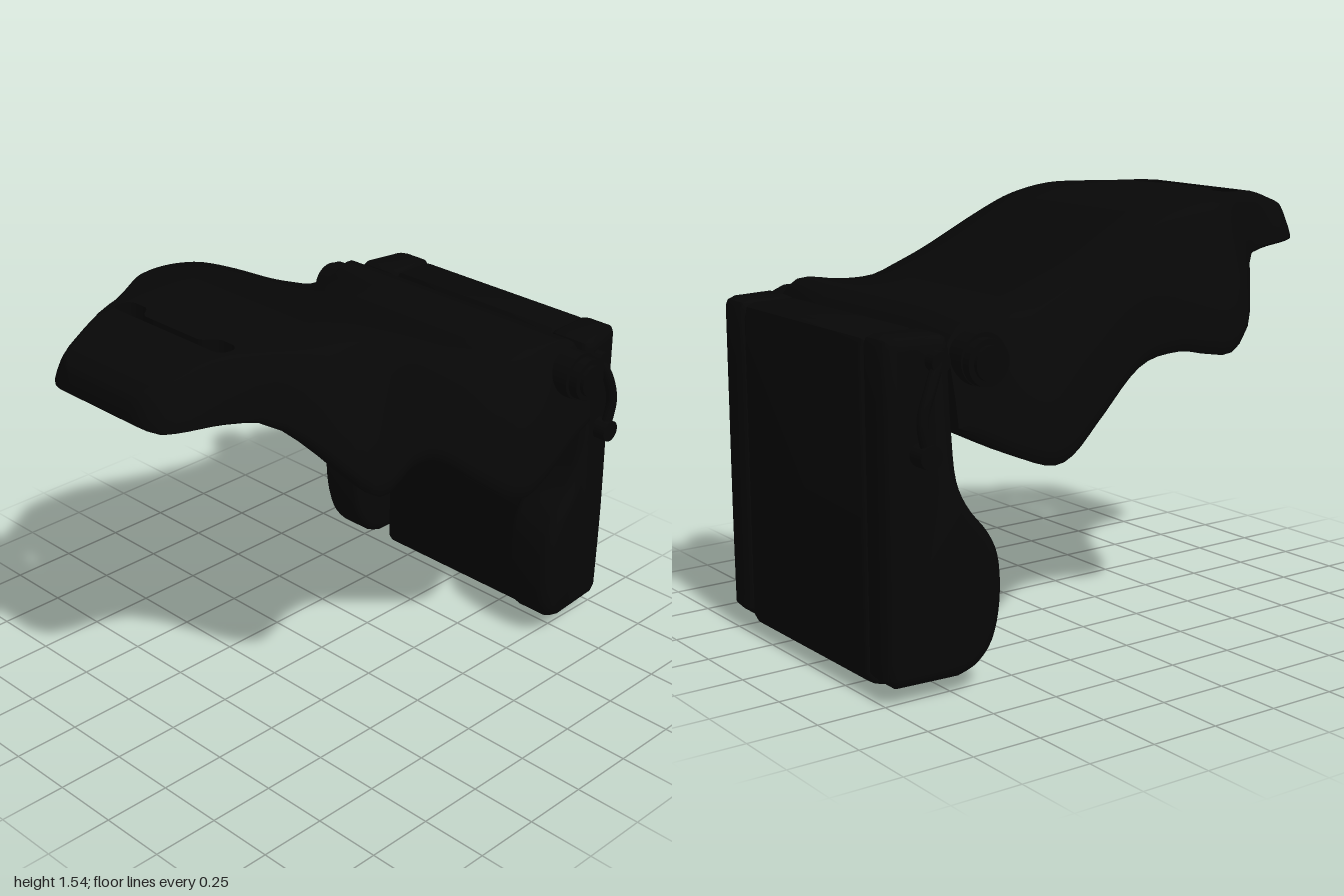
import * as THREE from 'three';
import { toCreasedNormals } from 'three/addons/utils/BufferGeometryUtils.js';

const black = new THREE.MeshStandardMaterial({ color: 0x070707 });
black.name = 'black';
const { smoothstep, lerp } = THREE.MathUtils;

function addMesh(parent, geometry, name) {
  const mesh = new THREE.Mesh(geometry, black);
  mesh.name = name;
  parent.add(mesh);
  return mesh;
}

// Smooth interpolation through rows of [t, value, value...]
function sample(rows, t, k) {
  let i = 0;
  while (i < rows.length - 2 && t > rows[i + 1][0]) i++;
  const slope = n => {
    const a = rows[Math.max(n - 1, 0)], b = rows[Math.min(n + 1, rows.length - 1)];
    return (b[k] - a[k]) / (b[0] - a[0]);
  };
  const p = rows[i], q = rows[i + 1], h = q[0] - p[0];
  const s = Math.min(Math.max((t - p[0]) / h, 0), 1), s2 = s * s, s3 = s2 * s;
  return p[k] * (2 * s3 - 3 * s2 + 1) + q[k] * (3 * s2 - 2 * s3)
    + h * (slope(i) * (s3 - 2 * s2 + s) + slope(i + 1) * (s3 - s2));
}

// Hood stations: z, half width, top height, bottom height, flat share of the top
const STATIONS = [
  [-0.78, 0.61, 1.17, 0.9, 0.88], [-0.74, 0.612, 1.22, 0.88, 0.88], [-0.68, 0.615, 1.25, 0.85, 0.87],
  [-0.55, 0.63, 1.238, 0.785, 0.79], [-0.42, 0.64, 1.243, 0.742, 0.75], [-0.33, 0.632, 1.275, 0.765, 0.75],
  [-0.2, 0.605, 1.33, 0.86, 0.77], [0, 0.575, 1.43, 1.015, 0.79], [0.15, 0.594, 1.495, 1.05, 0.76],
  [0.25, 0.622, 1.522, 1.035, 0.72], [0.35, 0.638, 1.538, 1.03, 0.69], [0.44, 0.615, 1.54, 1.1, 0.7],
  [0.55, 0.5, 1.54, 1.24, 0.74], [0.63, 0.41, 1.54, 1.31, 0.79], [0.75, 0.345, 1.538, 1.33, 0.8],
  [0.9, 0.305, 1.495, 1.34, 0.74], [0.97, 0.265, 1.47, 1.343, 0.72], [1, 0.2, 1.43, 1.36, 0.72],
];
const COLUMNS = [0, 0.07, 0.13, 0.145, 0.16, 0.175, 0.19, 0.235, 0.25, 0.262, 0.27, 0.275];

// Rims of the slot: rounded ends and a raised middle in the rear rim
const endArc = x => Math.sqrt(Math.max(0, 0.04 ** 2 - Math.max(0, x - 0.235) ** 2));
const slotRear = x => x > 0.235 ? 0.675 - endArc(x) : lerp(0.685, 0.635, smoothstep(x, 0.13, 0.19));
const slotFront = x => 0.675 + endArc(x);

// Half sections of the outer skin and the hollow underside at z
function hoodSection({ z, rim }) {
  const [w, top, low, flat] = [1, 2, 3, 4].map(k => sample(STATIONS, z, k));
  const tw = w * flat, h = top - low;
  const roof = z < -0.42 ? Math.min(top - 0.2, 1.043 + 0.2 * (z + 0.42)) : top - 0.2;
  const ceiling = Math.max(roof, low), depth = ceiling - low;
  const k = Math.min(1, tw * 0.97 / 0.275);
  const rear = smoothstep(-z, 0.4, 0.78);
  const iw = Math.min(lerp(0.35, 0.368, rear), tw * 0.98);
  const ib = lerp(w - Math.min(0.05, w * 0.1), 0.385, rear);
  const side = [[0.02, 0.005], [0.12, 0.03], [0.25, 0.1], [0.46, 0.27], [0.8, 0.62], [0.99, 0.88]];
  const rowZ = x => rim ? rim(x) : z;
  const outer = [...COLUMNS.map(x => [x * k, top, rowZ(x)]),
    ...side.map(([a, b]) => [lerp(tw, w, a), top - h * b, z]), [w, low + h * 0.05, z], [w - 0.012, low, z]];
  const inner = [...COLUMNS.map(x => [x * Math.min(k, iw * 0.98 / 0.275), ceiling, rowZ(x)]),
    ...[[0, 0], [0.1, 0.06], [0.2, 0.14], [0.42, 0.35], [0.7, 0.65], [0.9, 0.83], [1, 0.93]]
      .map(([a, b]) => [lerp(iw, ib, a), ceiling - depth * b, z]),
    [ib + Math.min(0.012, w * 0.03), low, z]];
  const mirror = half => [...half.slice(1).reverse().map(([x, y, d]) => [-x, y, d]), ...half];
  return { outer: mirror(outer), inner: mirror(inner) };
}

function hoodGeometry() {
  const stations = [{ z: 0.655, rim: slotRear }, { z: 0.695, rim: slotFront }, { z: 0.985 }];
  for (let i = 0; i <= 44; i++) {
    const z = -0.78 + 1.78 * i / 44;
    if (z < 0.62 || z > 0.73) stations.push({ z });
  }
  stations.sort((a, b) => a.z - b.z);
  const rows = stations.map(hoodSection), n = rows[0].outer.length, mid = (n - 1) / 2;

  // A cell is solid unless it lies in the front slot or beyond the sheet
  const solid = (i, j) => {
    if (i < 0 || j < 0 || i >= rows.length - 1 || j >= n - 1) return false;
    const c = j >= mid ? j - mid : mid - 1 - j;
    return c >= COLUMNS.length - 1 || stations[i].rim !== slotRear;
  };
  const pos = [];
  const quad = (a, b, c, d) => pos.push(...a, ...b, ...c, ...a, ...c, ...d);
  for (let i = 0; i < rows.length - 1; i++) {
    for (let j = 0; j < n - 1; j++) {
      if (!solid(i, j)) continue;
      const ring = [[i, j], [i + 1, j], [i + 1, j + 1], [i, j + 1]];
      const o = ring.map(([r, c]) => rows[r].outer[c]);
      const u = ring.map(([r, c]) => rows[r].inner[c]);
      quad(...o);
      quad(u[3], u[2], u[1], u[0]);
      [[i, j - 1], [i + 1, j], [i, j + 1], [i - 1, j]].forEach(([r, c], e) => {
        const f = (e + 1) % 4;
        if (!solid(r, c)) quad(o[f], o[e], u[e], u[f]);
      });
    }
  }
  const g = new THREE.BufferGeometry();
  g.setAttribute('position', new THREE.Float32BufferAttribute(pos, 3));
  return toCreasedNormals(g, 0.75);
}

// Side profile of [z, y] points extruded along x, from x0 to x1
function profileSolid(points, x0, x1, bevel) {
  const shape = new THREE.Shape(points.map(([z, y]) => new THREE.Vector2(-z, y)));
  const g = new THREE.ExtrudeGeometry(shape, {
    depth: x1 - x0 - 2 * bevel, bevelEnabled: true, bevelSize: bevel,
    bevelThickness: bevel, bevelOffset: -bevel, bevelSegments: 4,
  });
  g.translate(0, 0, x0 + bevel);
  return g.rotateY(Math.PI / 2);
}

// Side bolster: bulges forward low down and outward at mid height
function bolsterGeometry(side) {
  const front = new THREE.SplineCurve([
    [-0.74, 0.06], [-0.67, 0.09], [-0.615, 0.17], [-0.595, 0.3], [-0.605, 0.45], [-0.645, 0.545],
    [-0.72, 0.64], [-0.762, 0.74], [-0.775, 0.9], [-0.78, 1.05], [-0.78, 1.17],
  ].map(p => new THREE.Vector2(...p))).getPoints(36).map(p => [p.x, p.y]);
  const back = [1.18, 1.0, 0.8, 0.6, 0.45, 0.3, 0.15, 0.09].map(y => [-1, y]);
  const points = [...front, [-0.79, 1.2], [-0.81, 1.21], [-0.96, 1.21], [-0.99, 1.2],
    ...back, [-0.97, 0.06]];
  const g = profileSolid(points.reverse(), 0.39, 0.603, 0.04);
  // The outer face narrows toward the back
  const width = [[0, 0.7], [0.15, 0.87], [0.45, 1], [0.75, 0.95], [1.21, 0.88]];
  const p = g.attributes.position;
  for (let i = 0; i < p.count; i++) {
    const y = p.getY(i), taper = smoothstep(p.getZ(i), -1.05, -0.8);
    const f = lerp(0.68, sample(width, y, 1), taper);
    p.setX(i, 0.385 + (p.getX(i) - 0.385) * f);
  }
  if (side < 0) {
    // Mirror and swap corners so faces still point outward
    const v = p.array.slice();
    for (let t = 0; t < p.count; t += 3) {
      [0, 2, 1].forEach((s, k) => {
        const q = (t + s) * 3;
        p.setXYZ(t + k, -v[q], v[q + 1], v[q + 2]);
      });
    }
  }
  return toCreasedNormals(g, 0.7);
}

export function createModel() {
  const model = new THREE.Group();
  model.name = 'hoodedBackrest';

  addMesh(model, hoodGeometry(), 'hood');

  // Central back panel
  const panel = [[-0.775, 0.03], [-0.775, 0.85], [-0.785, 1.17], [-0.81, 1.205], [-0.96, 1.205],
    [-0.99, 1.19], [-1, 1.15], [-1, 0.08], [-0.985, 0.05], [-0.96, 0.035], [-0.83, 0], [-0.79, 0.005]];
  addMesh(model, toCreasedNormals(profileSolid(panel.reverse(), -0.392, 0.392, 0.02), 0.7), 'backPanel');

  for (const side of [1, -1]) {
    const name = side > 0 ? 'left' : 'right';
    addMesh(model, bolsterGeometry(side), name + 'Bolster');

    // Disc with its axis along x
    const disc = (part, radius, x0, x1, y, z) => {
      const m = addMesh(model, new THREE.CylinderGeometry(radius, radius, x1 - x0, 32), name + part);
      m.rotation.z = Math.PI / 2;
      m.position.set(side * (x0 + x1) / 2, y, z);
    };
    // Stepped hinge
    disc('HingeBase', 0.088, 0.54, 0.625, 1.125, -0.69);
    disc('HingeDisc', 0.078, 0.6, 0.66, 1.12, -0.695);
    disc('HingeCap', 0.058, 0.64, 0.675, 1.12, -0.695);

    // Curved strap ending in studs
    const strap = new THREE.CatmullRomCurve3([
      [0.59, 1.13, -0.84], [0.605, 1.05, -0.88], [0.605, 0.95, -0.91], [0.6, 0.84, -0.89],
    ].map(([x, y, z]) => new THREE.Vector3(side * x, y, z)));
    addMesh(model, new THREE.TubeGeometry(strap, 20, 0.02, 8), name + 'Strap');
    disc('LowerStud', 0.04, 0.52, 0.625, 0.835, -0.89);
    disc('UpperStud', 0.035, 0.52, 0.61, 1.13, -0.84);
  }
  return model;
}
